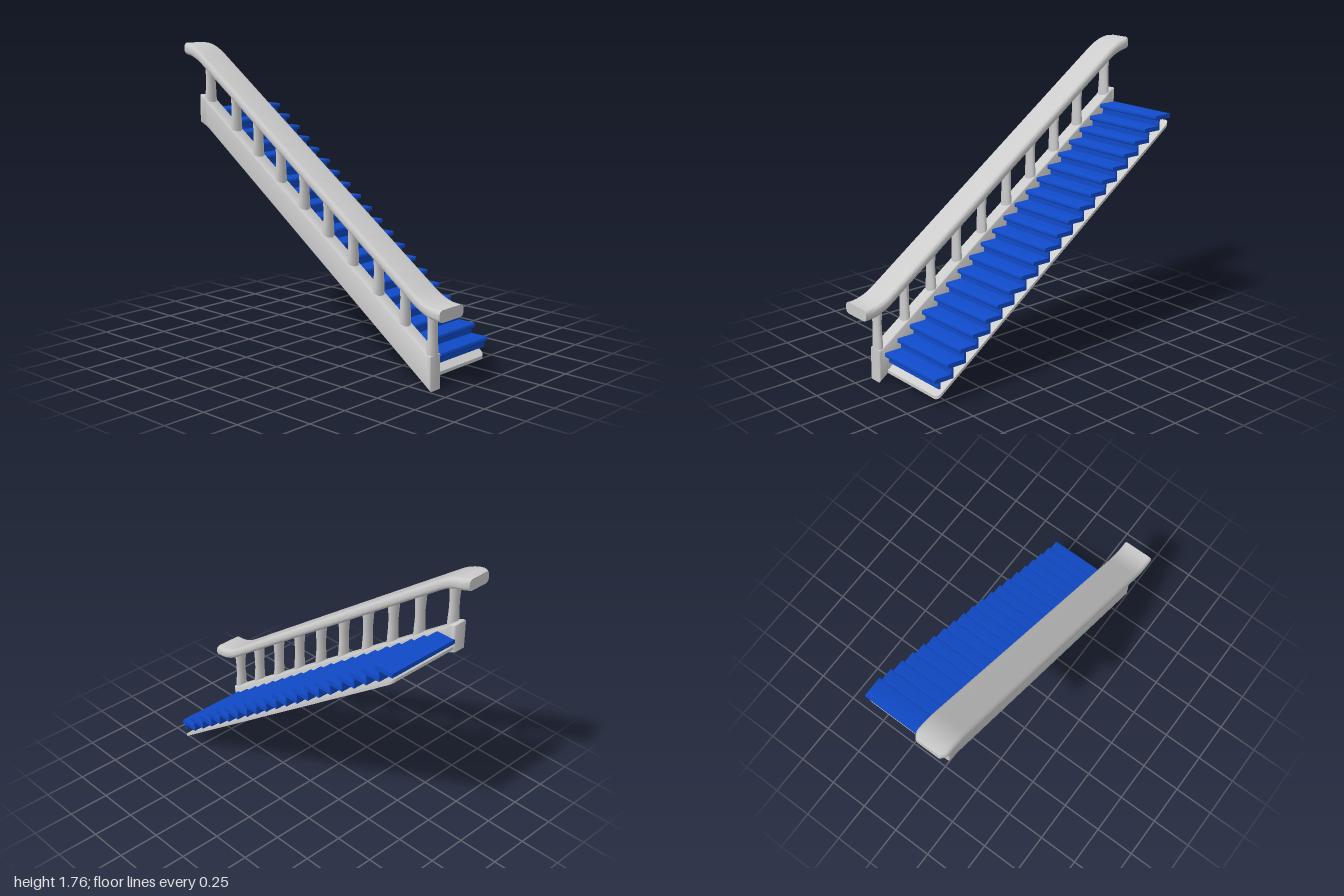
import * as THREE from 'three';
import { toCreasedNormals } from 'three/addons/utils/BufferGeometryUtils.js';

const grey = new THREE.MeshStandardMaterial({ color: 0xcccccc });
const blue = new THREE.MeshStandardMaterial({ color: 0x104ac8 });

const SLOPE = 0.709;
const stringerTop = (x) => 0.817 - SLOPE * x;
const stringerBottom = (x) => 0.652 - 0.719 * x;

// Rail centre line: a slope that eases into a level stretch at both ends
const smoothMin = (a, b, k) => {
  const h = Math.max(k - Math.abs(a - b), 0) / k;
  return Math.min(a, b) - (h * h * k) / 4;
};
const railCentre = (x) => {
  const y = smoothMin(1.087 - SLOPE * x, 1.73, 0.06);
  return -smoothMin(-y, -0.445, 0.06);
};

function moveVertices(geometry, rule) {
  const p = geometry.attributes.position;
  const v = new THREE.Vector3();
  for (let i = 0; i < p.count; i++) {
    v.fromBufferAttribute(p, i);
    rule(v);
    p.setXYZ(i, v.x, v.y, v.z);
  }
  return geometry;
}

function roundedRect(x0, y0, x1, y1, r) {
  const s = new THREE.Shape();
  s.moveTo(x0 + r, y0);
  s.lineTo(x1 - r, y0);
  s.quadraticCurveTo(x1, y0, x1, y0 + r);
  s.lineTo(x1, y1 - r);
  s.quadraticCurveTo(x1, y1, x1 - r, y1);
  s.lineTo(x0 + r, y1);
  s.quadraticCurveTo(x0, y1, x0, y1 - r);
  s.lineTo(x0, y0 + r);
  s.quadraticCurveTo(x0, y0, x0 + r, y0);
  return s;
}

function addMesh(group, name, geometry, material = grey) {
  const mesh = new THREE.Mesh(geometry, material);
  mesh.name = name;
  group.add(mesh);
  return mesh;
}

// Wide, soft-edged rail swept along the centre line
function handrail() {
  const section = roundedRect(-0.1, -0.034, 0.1, 0.034, 0.03);
  const g = new THREE.ExtrudeGeometry(section, { depth: 2, steps: 100, bevelEnabled: false, curveSegments: 6 });
  g.rotateY(Math.PI / 2);
  moveVertices(g, (v) => {
    v.x -= 1;
    const t = Math.max(0, (-0.95 - v.x) / 0.05);
    v.z = v.z * (1 - 0.25 * t * t) + 0.21;
    v.y += railCentre(v.x);
  });
  return toCreasedNormals(g, 0.7);
}

// Solid sloping side board
function stringer() {
  const b = 0.012;
  const s = new THREE.Shape();
  s.moveTo(-0.915 + b, 1.285 + b);
  s.lineTo(-0.885, 1.278 + b);
  s.lineTo(-0.84, stringerBottom(-0.84) + b);
  s.lineTo(0.9 - b, 0.001 + b * 1.5);
  s.lineTo(0.895 - b, 0.2 - b);
  s.lineTo(0.865, stringerTop(0.865) - b);
  s.lineTo(-0.85, stringerTop(-0.85) - b);
  s.quadraticCurveTo(-0.88, 1.455 - b, -0.915 + b, 1.455 - b);
  const g = new THREE.ExtrudeGeometry(s, {
    depth: 0.09 - 2 * b, bevelThickness: b, bevelSize: b, bevelSegments: 4, curveSegments: 6,
  });
  g.translate(0, 0, 0.157 + b);
  return toCreasedNormals(g, 0.6);
}

// Thin sheet under the flight, sheared to the slope
function soffit() {
  const g = new THREE.ExtrudeGeometry(roundedRect(-0.91, -0.31, 0.84, 0.2, 0.035), { depth: 0.018, bevelEnabled: false });
  g.rotateX(Math.PI / 2);
  moveVertices(g, (v) => { v.y += 0.02 + stringerBottom(v.x); });
  return toCreasedNormals(g, 0.6);
}

// Tread with a rounded nose and a set-back riser, nose tip at the origin
function step(depth, rise) {
  const t = 0.026;
  const s = new THREE.Shape();
  s.moveTo(-depth, 0);
  s.lineTo(-0.008, 0);
  s.quadraticCurveTo(0, 0, 0, -0.008);
  s.lineTo(0, -t + 0.008);
  s.quadraticCurveTo(0, -t, -0.008, -t);
  s.lineTo(-0.024, -t);
  s.lineTo(-0.024, -rise);
  s.lineTo(-0.036, -rise);
  s.lineTo(-0.036, -t);
  s.lineTo(-depth, -t);
  const g = new THREE.ExtrudeGeometry(s, { depth: 0.49, bevelEnabled: false, curveSegments: 4 });
  g.translate(0, 0, -0.31);
  return toCreasedNormals(g, 0.6);
}

// Oval post, slightly waisted
function baluster(x) {
  const y0 = stringerTop(x) - 0.04;
  const h = railCentre(x) - y0;
  const profile = [[0.025, 0], [0.024, 0.2], [0.021, 0.45], [0.021, 0.6], [0.024, 0.85], [0.026, 1]];
  const g = new THREE.LatheGeometry(profile.map(([r, k]) => new THREE.Vector2(r, k * h)), 20);
  g.scale(1, 1, 1.65);
  g.translate(x, y0, 0.202);
  return g;
}

export function createModel() {
  const model = new THREE.Group();
  model.name = 'staircase';

  addMesh(model, 'handrail', handrail());
  addMesh(model, 'stringer', stringer());
  addMesh(model, 'soffit', soffit());

  const balusters = new THREE.Group();
  balusters.name = 'balusters';
  model.add(balusters);
  addMesh(balusters, 'topPost', baluster(-0.86));
  for (let i = 0; i < 9; i++) addMesh(balusters, 'baluster', baluster(-0.635 + 0.1883 * i));

  const steps = new THREE.Group();
  steps.name = 'steps';
  model.add(steps);
  const run = 0.0866, rise = 0.0628;
  const stepGeometry = step(run + 0.036, rise);
  for (let i = 0; i < 20; i++) {
    addMesh(steps, 'step', stepGeometry, blue).position.set(-0.79 + run * i, 1.37 - rise * i, 0);
  }
  return model;
}
